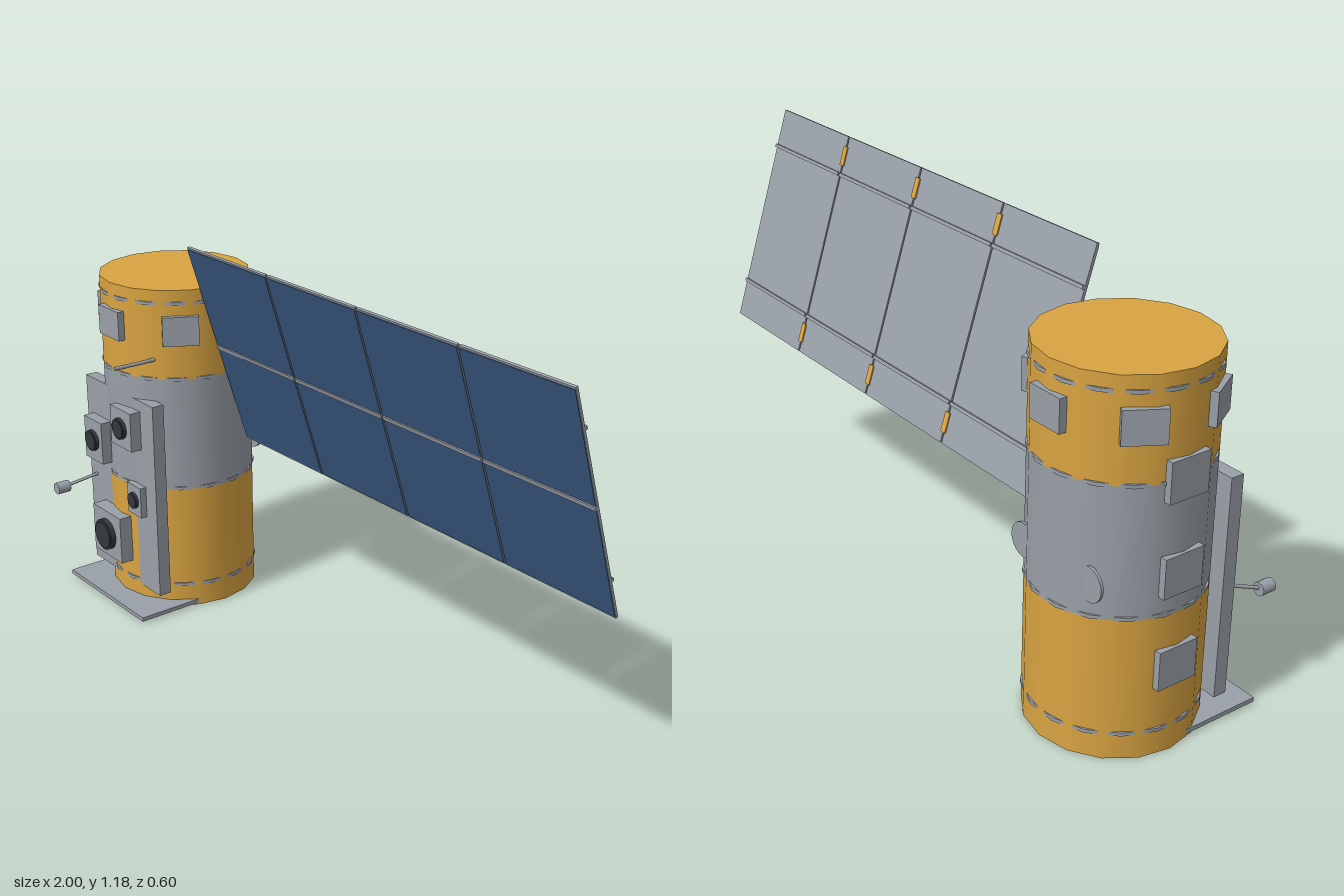
import * as THREE from 'three';

const gold = new THREE.MeshStandardMaterial({ name: 'gold foil', color: 0xd9a441 });
const grey = new THREE.MeshStandardMaterial({ name: 'grey metal', color: 0x9aa0a8 });
const blue = new THREE.MeshStandardMaterial({ name: 'solar blue', color: 0x3a5a84 });
const dark = new THREE.MeshStandardMaterial({ name: 'dark lens', color: 0x34383e });

const CX = -0.76, CZ = -0.053, R = 0.2325;

function add(parent, name, geometry, material, x = 0, y = 0, z = 0) {
  const mesh = new THREE.Mesh(geometry, material);
  mesh.name = name;
  mesh.position.set(x, y, z);
  parent.add(mesh);
  return mesh;
}

const box = (w, h, d) => new THREE.BoxGeometry(w, h, d);
const disc = (r, depth, n = 20) => new THREE.CylinderGeometry(r, r, depth, n).rotateX(Math.PI / 2);

// Straight rod between two points
function rod(parent, name, a, b, r, material) {
  const from = new THREE.Vector3(...a), to = new THREE.Vector3(...b);
  const dir = to.clone().sub(from);
  const mesh = add(parent, name, new THREE.CylinderGeometry(r, r, dir.length(), 10), material);
  mesh.position.copy(from).lerp(to, 0.5);
  mesh.quaternion.setFromUnitVectors(new THREE.Vector3(0, 1, 0), dir.normalize());
  return mesh;
}

function makeBody() {
  const body = new THREE.Group();
  body.name = 'body';
  body.position.set(CX, 0, CZ);
  const SIDES = 16;

  // Stacked drum sections
  const sections = [
    ['lowerDrum', 0, 0.405, gold],
    ['middleDrum', 0.405, 0.765, grey],
    ['upperDrum', 0.765, 1.043, gold],
  ];
  for (const [name, y0, y1, mat] of sections) {
    add(body, name, new THREE.CylinderGeometry(R, R, y1 - y0, SIDES), mat, 0, (y0 + y1) / 2, 0);
  }

  // Thin bands, turned half a step so they show between the drum corners
  for (const y of [0.075, 0.408, 0.765, 1.002]) {
    const ring = add(body, 'band', new THREE.CylinderGeometry(0.2345, 0.2345, 0.01, SIDES), grey, 0, y, 0);
    ring.rotation.y = Math.PI / SIDES;
  }

  // Six boxes around the top
  for (let i = 0; i < 6; i++) {
    const a = i * Math.PI / 3;
    const m = add(body, 'topBox', box(0.11, 0.09, 0.026), grey, Math.sin(a) * 0.23, 0.919, Math.cos(a) * 0.23);
    m.rotation.y = a;
  }

  // Flat boxes down the right side
  for (const y of [0.77, 0.515, 0.255]) {
    add(body, 'sideBox', box(0.025, 0.11, 0.12), grey, -0.2275, y, 0);
  }

  // Rounded fins at the back
  for (const s of [-1, 1]) {
    add(body, 'backFin', disc(0.048, 0.008), grey, s * 0.125, 0.497, -0.194);
  }
  return body;
}

function makeInstruments() {
  const group = new THREE.Group();
  group.name = 'instruments';
  add(group, 'instrumentPlate', box(0.385, 0.635, 0.04), grey, -0.766, 0.377, 0.145);
  add(group, 'basePlate', box(0.434, 0.013, 0.25), grey, -0.763, 0.0135, 0.125);

  // Cameras: x, y, width, height, box front z, lens radius, lens depth
  const cameras = [
    [-0.703, 0.597, 0.115, 0.125, 0.201, 0.034, 0.014],
    [-0.873, 0.506, 0.102, 0.138, 0.201, 0.034, 0.014],
    [-0.668, 0.364, 0.075, 0.1, 0.186, 0.026, 0.011],
    [-0.797, 0.21, 0.16, 0.155, 0.213, 0.051, 0.02],
  ];
  for (const [x, y, w, h, z, r, depth] of cameras) {
    add(group, 'cameraBox', box(w, h, z - 0.145), grey, x, y, (z + 0.145) / 2);
    add(group, 'lensBarrel', disc(r, depth * 0.8), dark, x, y, z + depth * 0.4);
    add(group, 'lensCap', disc(r * 0.85, depth), dark, x, y, z + depth * 0.5);
  }

  // Small antenna and upper probe
  rod(group, 'antennaArm', [-0.922, 0.366, 0.16], [-0.956, 0.336, 0.265], 0.005, grey);
  add(group, 'antennaHead', disc(0.019, 0.043, 14), grey, -0.956, 0.335, 0.278);
  rod(group, 'probe', [-0.617, 0.826, 0.11], [-0.617, 0.826, 0.262], 0.006, grey);
  return group;
}

function makeSolarArray() {
  const array = new THREE.Group();
  array.name = 'solarArray';
  array.position.set(0, 0.858, CZ);
  array.rotation.x = 0.307;
  const X0 = -0.526, GAP = 0.006, H = 0.674, T = 0.008;
  const W = (1 - X0 - 3 * GAP) / 4;

  for (let i = 0; i < 4; i++) {
    const x = X0 + W / 2 + i * (W + GAP);
    add(array, 'panel', box(W, H, T), grey, x, 0, 0);
    // Cells on the front, rails on the back
    for (const s of [-1, 1]) {
      add(array, 'solarCells', box(W - 0.002, H / 2 - 0.014, 0.002), blue, x, s * (H / 4 + 0.001), T / 2 + 0.001);
      add(array, 'backRail', box(W, 0.01, 0.008), grey, x, s * 0.222, -T / 2 - 0.003);
    }
    add(array, 'middleStrip', box(W, 0.012, 0.004), grey, x, 0, T / 2 + 0.002);

    // Hinges between neighbouring panels
    if (i < 3) {
      for (const s of [-1, 1]) {
        add(array, 'hinge', box(0.02, 0.058, 0.006), gold, x + (W + GAP) / 2, s * 0.278, -T / 2 - 0.001);
      }
    }
  }
  return array;
}

export function createModel() {
  const model = new THREE.Group();
  model.name = 'satellite';
  model.add(makeBody(), makeInstruments(), makeSolarArray());
  return model;
}
